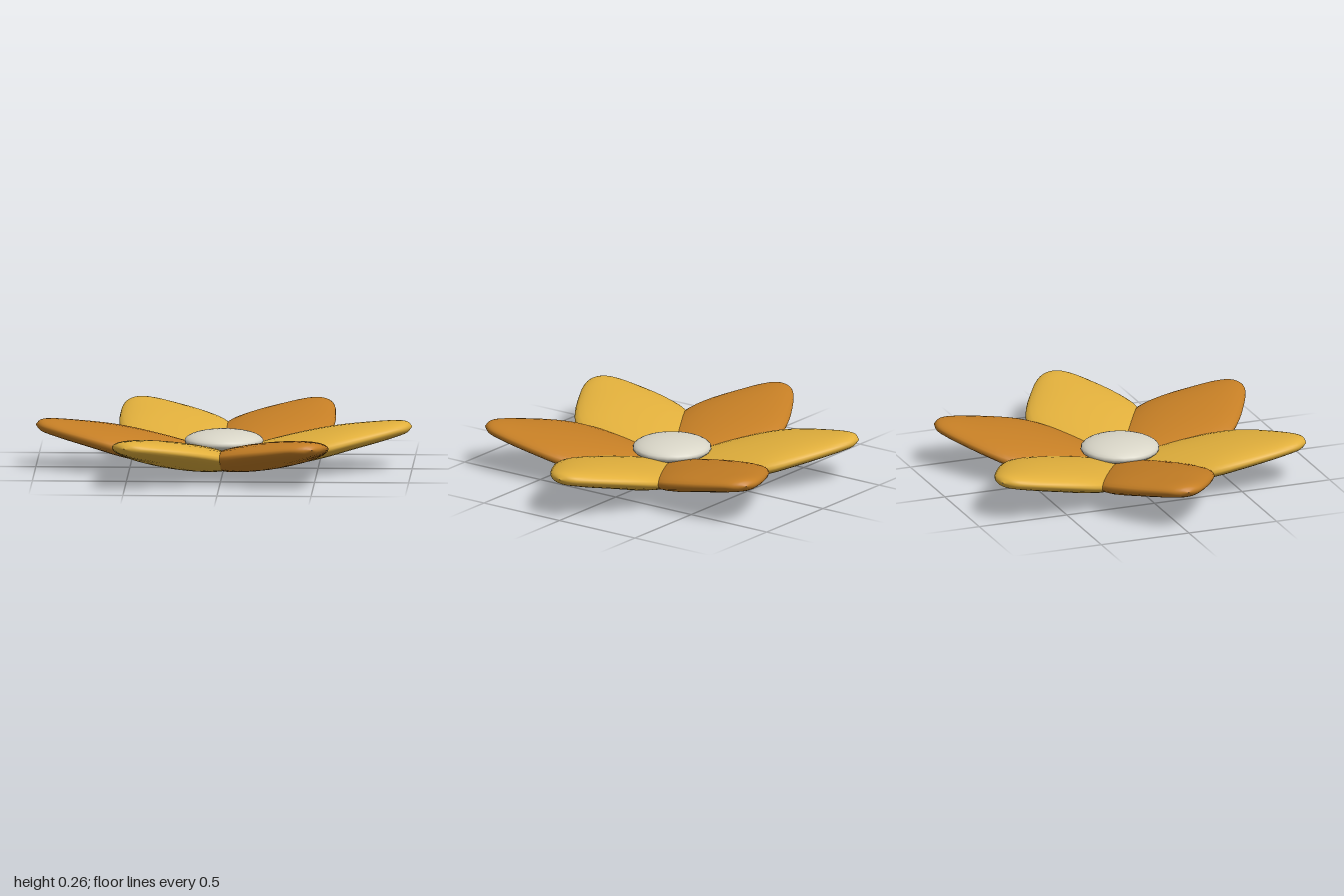
import * as THREE from 'three';

const yellow = new THREE.MeshStandardMaterial({ color: 0xe2b03c });
yellow.name = 'golden yellow';
const orange = new THREE.MeshStandardMaterial({ color: 0xc67f25 });
orange.name = 'amber orange';
const cream = new THREE.MeshStandardMaterial({ color: 0xd9d6c8 });
cream.name = 'pale cream';

// Petal stations from base to tip: radius, half width, underside, top
const STATIONS = [
  [0.03, 0.0, 0.05, 0.05],
  [0.05, 0.075, 0.02, 0.085],
  [0.12, 0.155, 0.0, 0.115],
  [0.25, 0.24, 0.012, 0.15],
  [0.4, 0.3, 0.037, 0.184],
  [0.545, 0.316, 0.072, 0.212],
  [0.68, 0.269, 0.11, 0.233],
  [0.824, 0.186, 0.148, 0.25],
  [0.92, 0.12, 0.176, 0.258],
  [0.975, 0.066, 0.197, 0.253],
  [1.0, 0.0, 0.228, 0.228],
];

// Smooth cushion-like petal lofted from elliptical cross-sections along +x
function petalGeometry() {
  const size = new THREE.CatmullRomCurve3(
    STATIONS.map(([r, w, lo, hi]) => new THREE.Vector3(r, w, (hi - lo) / 2)), false, 'catmullrom', 0.5);
  const centre = new THREE.CatmullRomCurve3(
    STATIONS.map(([r, , lo, hi]) => new THREE.Vector3(r, (hi + lo) / 2, 0)), false, 'catmullrom', 0.5);
  const rows = 30, sides = 28, positions = [], indices = [];
  for (let i = 0; i <= rows; i++) {
    const s = size.getPoint(i / rows), c = centre.getPoint(i / rows);
    const w = Math.max(s.y, 0.001), h = Math.max(s.z, 0.001);
    for (let j = 0; j < sides; j++) {
      const a = (j / sides) * Math.PI * 2;
      positions.push(s.x, c.y + h * Math.sin(a), w * Math.cos(a));
    }
  }
  for (let i = 0; i < rows; i++) {
    for (let j = 0; j < sides; j++) {
      const k = (j + 1) % sides;
      const a = i * sides + j, b = i * sides + k;
      indices.push(a, a + sides, b, b, a + sides, b + sides);
    }
  }
  const geometry = new THREE.BufferGeometry();
  geometry.setAttribute('position', new THREE.Float32BufferAttribute(positions, 3));
  geometry.setIndex(indices);
  geometry.computeVertexNormals();
  return geometry;
}

export function createModel() {
  const flower = new THREE.Group();
  flower.name = 'flower';

  // Six petals in alternating colours
  const geometry = petalGeometry();
  for (let i = 0; i < 6; i++) {
    const petal = new THREE.Mesh(geometry, i % 2 ? orange : yellow);
    petal.name = `petal${i + 1}`;
    petal.rotation.y = (i * Math.PI) / 3;
    flower.add(petal);
  }

  // Flattened button in the middle
  const button = new THREE.Mesh(new THREE.SphereGeometry(0.21, 24, 16), cream);
  button.name = 'centreButton';
  button.scale.y = 0.27;
  button.position.y = 0.148;
  flower.add(button);

  return flower;
}
